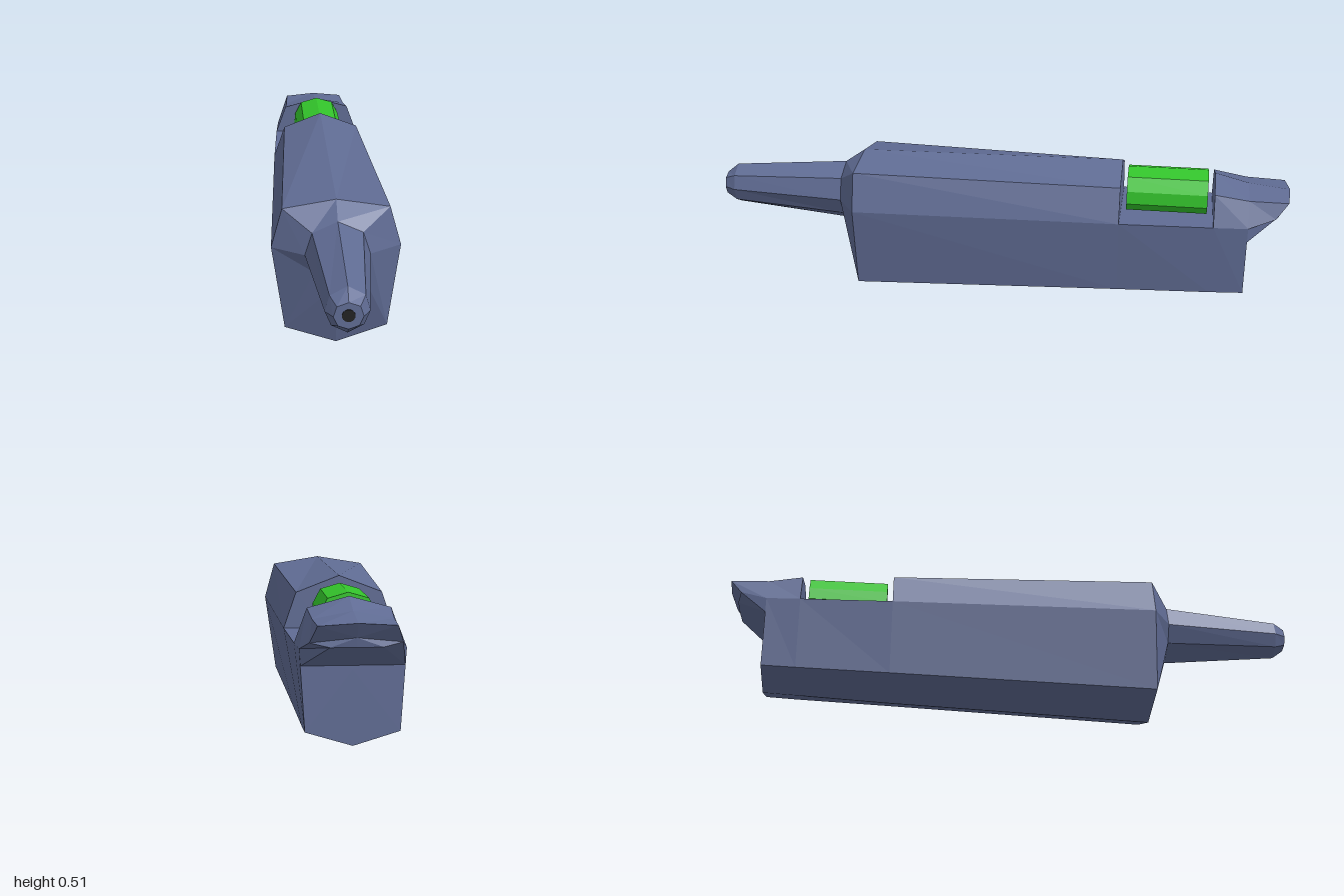
import * as THREE from 'three';

const shellBlue = new THREE.MeshStandardMaterial({ color: 0x606c94 });
shellBlue.name = 'shell blue';
const cellGreen = new THREE.MeshStandardMaterial({ color: 0x33c42b });
cellGreen.name = 'cell green';
const boreBlack = new THREE.MeshStandardMaterial({ color: 0x222222 });
boreBlack.name = 'bore black';

// Mirror a right-hand half profile (top to bottom) into a closed ring at depth z.
// A third number in a point shifts it along z.
function ring(z, half) {
  const point = (p, side) => new THREE.Vector3(side * p[0], p[1], z + (p[2] || 0));
  const right = half.map(p => point(p, 1));
  const left = half.filter(p => p[0] > 0).reverse().map(p => point(p, -1));
  return [...right, ...left];
}

// Faceted, capped skin through rings ordered from front to back.
function loft(name, material, rings) {
  const positions = [];
  const tri = (...pts) => pts.forEach(p => positions.push(p.x, p.y, p.z));
  const centre = r => r.reduce((s, p) => s.add(p), new THREE.Vector3()).divideScalar(r.length);
  const first = rings[0], last = rings[rings.length - 1];
  const n = first.length, c0 = centre(first), c1 = centre(last);
  for (let i = 0; i < n; i++) {
    const j = (i + 1) % n;
    for (let k = 0; k < rings.length - 1; k++) {
      const a = rings[k], b = rings[k + 1];
      tri(a[i], a[j], b[j]);
      tri(a[i], b[j], b[i]);
    }
    tri(c0, first[j], first[i]);
    tri(c1, last[i], last[j]);
  }
  const geometry = new THREE.BufferGeometry();
  geometry.setAttribute('position', new THREE.Float32BufferAttribute(positions, 3));
  geometry.computeVertexNormals();
  const mesh = new THREE.Mesh(geometry, material);
  mesh.name = name;
  return mesh;
}

export function createModel() {
  const model = new THREE.Group();
  model.name = 'handheldDevice';

  // Tapered nozzle
  const nozzleBase = ring(0.555, [[0, 0.45], [0.08, 0.413], [0.103, 0.34], [0.073, 0.28], [0, 0.234]]);
  model.add(loft('nozzle', shellBlue, [
    ring(1, [[0, 0.386], [0.033, 0.374], [0.043, 0.343], [0.03, 0.315], [0, 0.304]]),
    ring(0.96, [[0, 0.418], [0.051, 0.39], [0.065, 0.342], [0.047, 0.298], [0, 0.274]]),
    nozzleBase,
  ]));

  // Nozzle opening
  const bore = new THREE.Mesh(new THREE.CylinderGeometry(0.019, 0.019, 0.004, 20), boreBlack);
  bore.name = 'nozzleOpening';
  bore.rotation.x = Math.PI / 2;
  bore.position.set(0, 0.346, 1);
  model.add(bore);

  // Main body in front of the recess
  model.add(loft('frontBody', shellBlue, [
    nozzleBase,
    ring(0.485, [[0, 0.498], [0.171, 0.47], [0.207, 0.34], [0.167, 0.058], [0, 0.001]]),
    ring(-0.43, [[0, 0.508], [0.138, 0.455], [0.178, 0.34], [0.148, 0.084], [0, 0.034]]),
  ]));

  // Body under the recess, with a flat floor
  const recessBack = [[0.163, 0.34], [0.142, 0.092], [0, 0.049]];
  model.add(loft('recessBody', shellBlue, [
    ring(-0.43, [[0, 0.34], [0.09, 0.34], [0.178, 0.34], [0.148, 0.084], [0, 0.034]]),
    ring(-0.745, [[0, 0.34], [0.08, 0.34], ...recessBack]),
  ]));

  // Body behind the recess
  const crown = [[0, 0.447], [0.118, 0.425], [0.155, 0.34]];
  model.add(loft('rearBody', shellBlue, [
    ring(-0.745, [[0, 0.477], [0.125, 0.443], ...recessBack]),
    ring(-0.86, [...crown, [0.139, 0.096], [0, 0.054]]),
  ]));

  // Overhanging rear lip
  model.add(loft('rearLip', shellBlue, [
    ring(-0.86, [...crown, [0.151, 0.29], [0, 0.29]]),
    ring(-1, [[0, 0.43], [0.112, 0.422, 0.01], [0.132, 0.37, 0.05], [0.075, 0.358, 0.036], [0, 0.358, 0.034]]),
  ]));

  // Green cell lying in the recess
  const cell = [[0, 0.486], [0.062, 0.468], [0.086, 0.423], [0.09, 0.38], [0.07, 0.352], [0, 0.352]];
  model.add(loft('powerCell', cellGreen, [ring(-0.45, cell), ring(-0.723, cell)]));

  return model;
}
